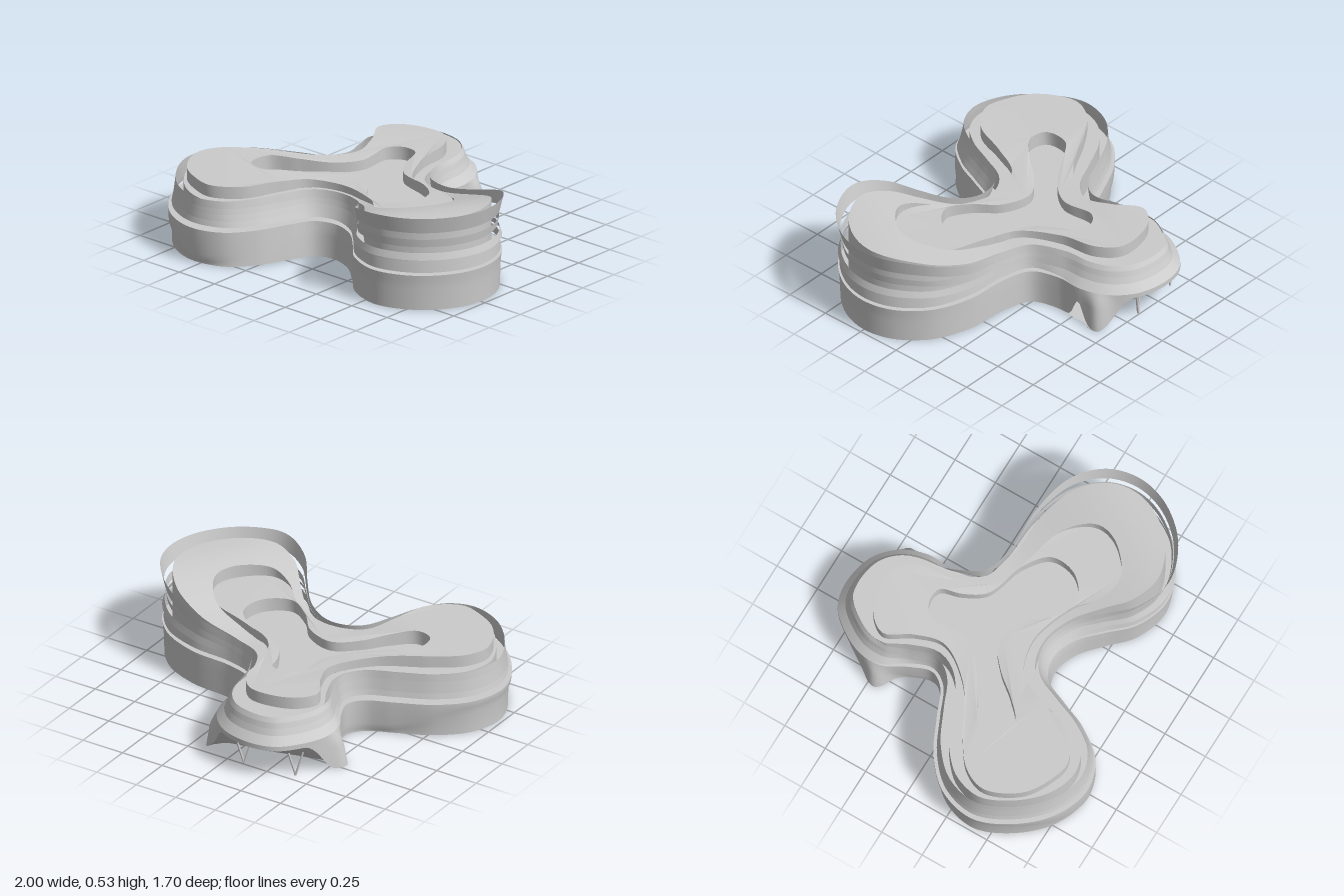
import * as THREE from 'three';

const N = 320;
const mat = new THREE.MeshStandardMaterial({ color: 0xcccccc, side: THREE.DoubleSide });
const { lerp, clamp, smoothstep } = THREE.MathUtils;

// Closed smooth plan curve through [x, z] points
function planCurve(pts, n) {
  const c = new THREE.CatmullRomCurve3(pts.map(([x, z]) => new THREE.Vector3(x, 0, z)), true);
  return c.getSpacedPoints(n).slice(0, n);
}

const outline = planCurve([
  [-0.2, -0.85], [-0.02, -0.81], [0.1, -0.7], [0.155, -0.55], [0.15, -0.4], [0.2, -0.25],
  [0.35, -0.195], [0.6, -0.175], [0.82, -0.09], [0.96, 0.07], [1, 0.25], [0.95, 0.43],
  [0.8, 0.6], [0.58, 0.678], [0.38, 0.61], [0.25, 0.48], [0.13, 0.37], [0, 0.325],
  [-0.11, 0.36], [-0.18, 0.5], [-0.25, 0.66], [-0.37, 0.8], [-0.55, 0.85], [-0.75, 0.78],
  [-0.92, 0.6], [-1, 0.4], [-0.95, 0.2], [-0.8, 0.05], [-0.6, -0.05], [-0.45, -0.12],
  [-0.4, -0.2], [-0.44, -0.32], [-0.51, -0.45], [-0.51, -0.58], [-0.44, -0.72], [-0.34, -0.82],
], N);

const terrace = planCurve([
  [-0.2, -0.65], [-0.07, -0.64], [0.02, -0.53], [0.05, -0.33], [0.16, -0.12], [0.35, -0.05],
  [0.57, 0.02], [0.68, 0.17], [0.65, 0.3], [0.49, 0.43], [0.36, 0.4], [0.22, 0.28],
  [-0.02, 0.2], [-0.22, 0.26], [-0.3, 0.42], [-0.38, 0.62], [-0.53, 0.72], [-0.66, 0.69],
  [-0.8, 0.6], [-0.89, 0.41], [-0.84, 0.28], [-0.7, 0.17], [-0.43, 0.01], [-0.29, -0.19],
  [-0.33, -0.35], [-0.41, -0.5], [-0.34, -0.6],
], 220);

const court = planCurve([
  [-0.2, -0.32], [-0.13, -0.38], [-0.04, -0.37], [0, -0.26], [0.08, -0.14], [0.3, -0.06],
  [0.42, 0.05], [0.4, 0.2], [0.27, 0.29], [0.14, 0.22], [0.03, 0.1], [-0.13, 0.05],
  [-0.26, 0.14], [-0.37, 0.27], [-0.48, 0.36], [-0.58, 0.33], [-0.58, 0.2], [-0.45, 0.11],
  [-0.29, 0], [-0.2, -0.13],
], 160);

// Rise towards the tall wing, and the line where the rear wing lifts off the ground
const rise = (x, z) => smoothstep(x + 0.6 * z, 0.15, 1.05);
const cutZ = (x) => -0.585 - 0.23 * x;
const roofY = (p) => lerp(0.335, 0.5, rise(p.x, p.z));
const terraceY = (p) => lerp(0.375, 0.403, smoothstep(Math.hypot(p.x + 0.05, p.z - 0.05), 0.15, 0.6));
const bump = (x, z, cx, cz, r) => Math.exp(-((x - cx) ** 2 + (z - cz) ** 2) / (r * r));

// Per-sample blend weights, outward direction and bottom edge
const samples = outline.map((p, i) => {
  const t = outline[(i + 1) % N].clone().sub(outline[(i + N - 1) % N]).normalize();
  const { x, z } = p, wR = rise(x, z), wB = smoothstep(-z, 0.25, 0.55);
  const wL = smoothstep(-x, 0.15, 0.55) * (1 - wB);
  const beyond = cutZ(x) - z, neck = clamp(1 - wR - wB - wL, 0, 1);
  const front = smoothstep(z, -0.1, 0.25);
  const arch = x > 0 ? 0.12 * Math.exp(-(((z + 0.54) / 0.04) ** 2)) : 0;
  return {
    p, out: new THREE.Vector3(t.z, 0, -t.x), wR, wB, wL,
    neck: neck * front, rearNeck: neck * (1 - front),
    gap: smoothstep(x + 0.6 * z, 0.45, 0.85),
    bottom: 0.18 * smoothstep(beyond, 0.05, 0.22) + arch,
    flare: bump(x, z, 0.12, -0.66, 0.06) + bump(x, z, -0.51, -0.47, 0.06),
  };
});
const at = (s, inset, y) => s.p.clone().addScaledVector(s.out, -inset).setY(y);

// Surface through stacked rows of points
function loft(rows, closed = true) {
  const n = rows[0].length, idx = [];
  for (let r = 0; r < rows.length - 1; r++) {
    for (let i = 0; i < (closed ? n : n - 1); i++) {
      const j = (i + 1) % n, a = r * n + i, b = r * n + j;
      idx.push(a, b + n, b, a, a + n, b + n);
    }
  }
  const g = new THREE.BufferGeometry().setFromPoints(rows.flat());
  g.setIndex(idx);
  g.computeVertexNormals();
  return g;
}

// Near-horizontal deck bounded by plan curves, height given by a rule
function deck(edge, holes, yAt) {
  const flat = (c) => c.map((p) => new THREE.Vector2(p.x, -p.z));
  const s = new THREE.Shape(flat(edge));
  holes.forEach((h) => s.holes.push(new THREE.Path(flat(h))));
  const g = new THREE.ShapeGeometry(s).rotateX(-Math.PI / 2);
  const pos = g.attributes.position, v = new THREE.Vector3();
  for (let i = 0; i < pos.count; i++) pos.setY(i, yAt(v.fromBufferAttribute(pos, i)));
  g.computeVertexNormals();
  return g;
}

// Facade seams: height and half-gap in the low wings and the tall wing
const seams = [
  { low: 0.207, high: 0.207, gl: 0.012, gh: 0.007 },
  { low: 0.25, high: 0.283, gl: 0, gh: 0.004 },
  { low: 0.285, high: 0.34, gl: 0, gh: 0.015 },
  { low: 0.315, high: 0.42, gl: 0, gh: 0.02 },
];
// Inset of each band's [bottom, top] edge per wing
const insets = {
  wR: [[0.025, 0.012], [0.02, 0.025], [0.012, 0.025], [0.035, 0.028], [0.022, 0]],
  wL: [[0.005, 0], [0.018, 0.025], [0.025, 0.03], [0.03, 0.034], [0.034, 0.038]],
  wB: [[0, 0], [0, 0.04], [0.04, 0.055], [0.055, 0.065], [0.065, 0.08]],
  neck: [[0, 0.015], [0.015, 0.03], [0.03, 0.045], [0.045, 0.055], [0.055, 0.065]],
  rearNeck: [[0, 0.005], [0.005, 0.01], [0.01, 0.015], [0.015, 0.02], [0.02, 0.025]],
};
function insetOf(s, band, end) {
  let sum = 0, w = 0;
  for (const k in insets) { sum += s[k] * insets[k][band][end]; w += s[k]; }
  return sum / w;
}
function seamY(s, k, side) {
  const m = seams[k];
  return lerp(m.low, m.high, s.wR) + side * lerp(m.gl * (1 - s.wB), m.gh, s.gap);
}

export function createModel() {
  const group = new THREE.Group();
  const add = (name, geo, parent = group) => {
    const m = new THREE.Mesh(geo, mat);
    m.name = name;
    parent.add(m);
  };

  // Lowest band with a wandering crease, lifted and flared at the rear
  const crease = (s) => {
    const c = s.p.x < 0 ? 0.085 + 0.055 * Math.cos(2 * Math.PI * s.p.x) : 0.14;
    return clamp(lerp(c, 0.15, s.wB), s.bottom + 0.004, 0.19);
  };
  const baseRows = [0, 1, 2, 3].map((f) => samples.map((s) => {
    const c = crease(s), top = seamY(s, 0, -1), k = f / 3;
    const y = [s.bottom, Math.max(s.bottom, c - 0.02), Math.min(c + 0.025, top), top][f];
    const under = f < 2 ? 0.015 * s.wL : 0;
    return at(s, lerp(insetOf(s, 0, 0), insetOf(s, 0, 1), k) + under - 0.06 * s.flare * (1 - k), y);
  }));
  add('baseBand', loft(baseRows));

  // Upper facade bands, separated by lens-shaped slits
  for (let b = 1; b < 5; b++) {
    const rows = [0, 0.5, 1].map((k) => samples.map((s) => {
      const lo = seamY(s, b - 1, 1);
      const hi = b < 4 ? seamY(s, b, -1) : lerp(lerp(0.357, 0.34, s.wB), 0.53, s.wR);
      return at(s, lerp(insetOf(s, b, 0), insetOf(s, b, 1), k), lerp(lo, hi, k));
    }));
    add('facadeBand' + b, loft(rows));
  }

  // Recessed core wall behind the slits, standing on a ledge over the base band
  const coreInset = (s) => lerp(0.082, 0.068, s.wR) - 0.03 * s.rearNeck;
  const coreTop = samples.map((s) => { const p = at(s, coreInset(s), 0); return p.setY(roofY(p)); });
  const coreLow = samples.map((s) => at(s, coreInset(s), seamY(s, 0, -1)));
  add('coreLedge', loft([baseRows[3], coreLow]));
  add('coreWall', loft([coreLow, coreTop]));

  // Sloping roof ring from the core to the terrace edge
  const inner = coreTop.map((p) => terrace.reduce((best, q) =>
    (Math.hypot(q.x - p.x, q.z - p.z) < Math.hypot(best.x - p.x, best.z - p.z) ? q : best)));
  add('roof', loft([0, 0.25, 0.5, 0.75, 1].map((k) => coreTop.map((p, i) => {
    const q = p.clone().lerp(inner[i], k);
    return q.setY(roofY(q));
  }))));

  // Terrace dipping towards the middle, and sunken courtyard
  const level = (c, yAt) => c.map((p) => p.clone().setY(yAt(p)));
  const floorY = () => 0.32;
  add('terraceWall', loft([level(terrace, roofY), level(terrace, terraceY)]));
  add('terrace', deck(terrace, [court], terraceY));
  add('courtyardWall', loft([level(court, terraceY), level(court, floorY)]));
  add('courtyardFloor', deck(court, [], floorY));

  // Ground slab, cut off where the rear wing lifts, and the sloping soffit beyond
  const foot = baseRows[0];
  add('groundSlab', deck(foot.map((p) => p.clone().setZ(Math.max(p.z, cutZ(p.x)))), [], () => 0));
  const first = foot.findIndex((p) => p.z > cutZ(p.x));
  let last = N - 1;
  while (foot[last].z < cutZ(foot[last].x)) last--;
  const rim = [...foot.slice(last), ...foot.slice(0, first + 1)];
  add('rearSoffit', loft([rim.map((p) => new THREE.Vector3(p.x, 0, cutZ(p.x))), rim], false));

  // V-shaped columns under the rear wing
  for (const [x, z] of [[-0.1, -0.74], [-0.4, -0.7]]) {
    const v = new THREE.Group();
    v.name = 'vColumn';
    for (const side of [-1, 1]) {
      const path = new THREE.LineCurve3(new THREE.Vector3(x, 0, z),
        new THREE.Vector3(x + side * 0.035, 0.14, z - side * 0.02));
      add('strut', new THREE.TubeGeometry(path, 1, 0.006, 8), v);
    }
    group.add(v);
  }
  return group;
}
